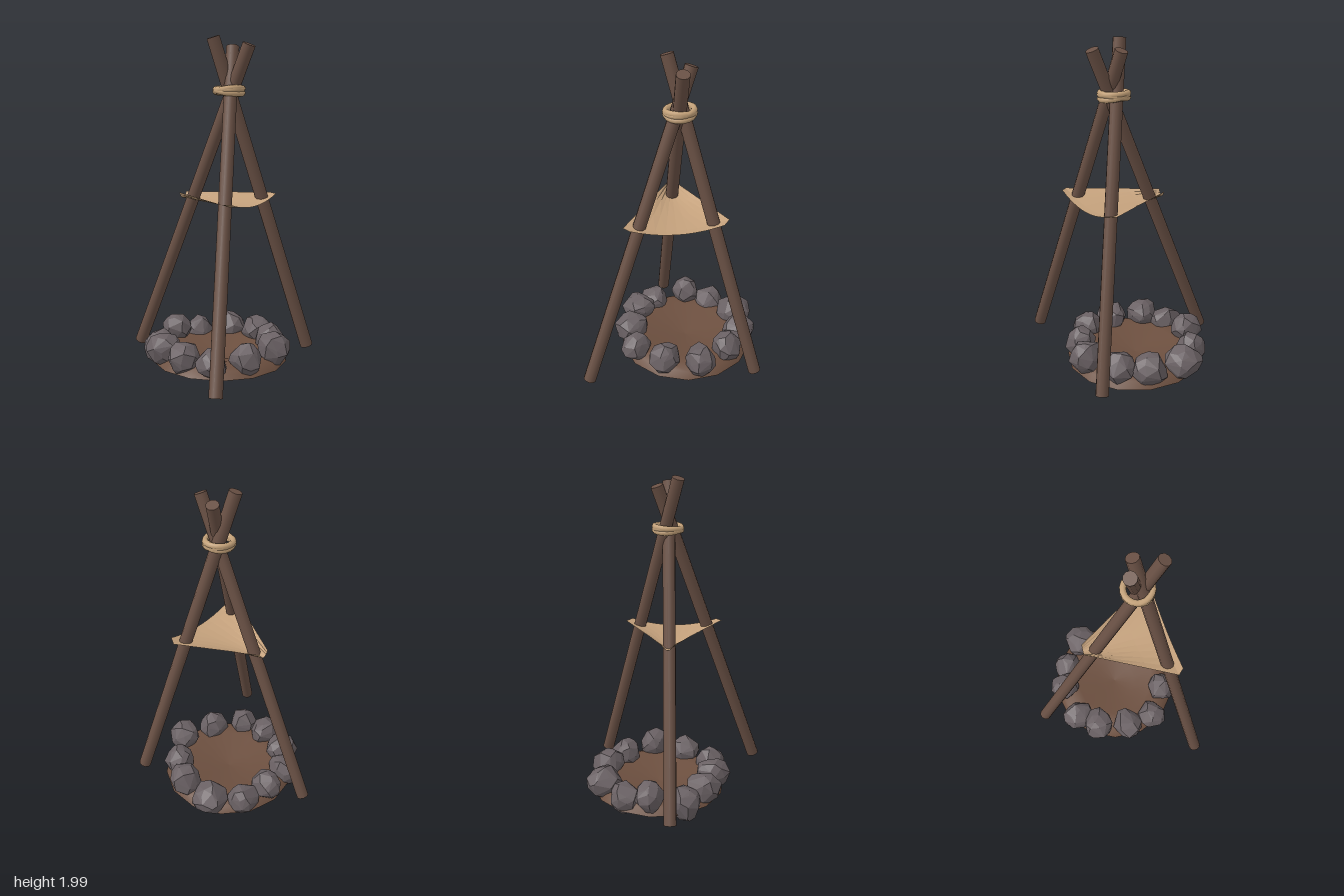
import * as THREE from 'three';
import { ConvexGeometry } from 'three/addons/geometries/ConvexGeometry.js';

const mat = (name, color, side = THREE.FrontSide) => {
  const m = new THREE.MeshStandardMaterial({ color, side });
  m.name = name;
  return m;
};

// Small seeded random generator
function seeded(seed) {
  let s = seed * 7919 + 13;
  return () => (s = (s * 16807) % 2147483647) / 2147483647;
}

// Round pole between two points
function pole(a, b, radius) {
  const from = new THREE.Vector3(...a), to = new THREE.Vector3(...b);
  const dir = to.clone().sub(from);
  const geo = new THREE.CylinderGeometry(radius, radius, dir.length(), 10);
  const mesh = new THREE.Mesh(geo);
  mesh.position.copy(from).add(to).multiplyScalar(0.5);
  mesh.quaternion.setFromUnitVectors(new THREE.Vector3(0, 1, 0), dir.normalize());
  return mesh;
}

// Faceted boulder: convex hull of jittered points, fitted to its half sizes
function boulder(seed, rx, ry, rz) {
  const rnd = seeded(seed), pts = [], n = 44;
  for (let i = 0; i < 5; i++) rnd();
  for (let i = 0; i < n; i++) {
    const y = 1 - (2 * (i + 0.5)) / n, r = Math.sqrt(1 - y * y);
    const a = i * 2.39996 + (rnd() - 0.5) * 0.8 + seed;
    const k = 0.84 + rnd() * 0.24;
    pts.push(new THREE.Vector3(Math.cos(a) * r * k, y * k, Math.sin(a) * r * k));
  }
  const box = new THREE.Box3().setFromPoints(pts);
  const mid = box.getCenter(new THREE.Vector3()), half = box.getSize(new THREE.Vector3()).multiplyScalar(0.5);
  const size = new THREE.Vector3(rx, ry, rz);
  return new ConvexGeometry(pts.map((p) => p.sub(mid).divide(half).multiply(size)));
}

// Hanging sheet: a trough lofted through rows with taut side edges
function sheet() {
  // Each row: left end x, z, right end x, z, sag
  const rows = [
    [-0.235, 0.377, 0.293, 0.327, 0.043],
    [-0.27, 0.342, 0.325, 0.267, 0.045],
    [-0.186, 0.173, 0.232, 0.123, 0.045],
    [-0.103, 0.005, 0.139, -0.02, 0.042],
    [-0.02, -0.164, 0.046, -0.164, 0.035],
  ];
  const steps = 10, pos = [], idx = [];
  rows.forEach(([x1, z1, x2, z2, sag]) => {
    for (let i = 0; i <= steps; i++) {
      const t = i / steps;
      pos.push(x1 + (x2 - x1) * t, 1.08 - sag * 4 * t * (1 - t), z1 + (z2 - z1) * t);
    }
  });
  for (let r = 0; r < rows.length - 1; r++) {
    for (let i = 0; i < steps; i++) {
      const a = r * (steps + 1) + i, c = a + steps + 1;
      idx.push(a, a + 1, c, a + 1, c + 1, c);
    }
  }
  const indexed = new THREE.BufferGeometry();
  indexed.setAttribute('position', new THREE.Float32BufferAttribute(pos, 3));
  indexed.setIndex(idx);
  const geo = indexed.toNonIndexed();
  geo.computeVertexNormals();
  return geo;
}

export function createModel() {
  const wood = mat('wood', 0x6a5145);
  const earth = mat('earth', 0x6c4f3f, THREE.DoubleSide);
  const stone = mat('stone', 0x6a6164);
  const rope = mat('rope', 0xc2a078);
  const hide = mat('hide', 0xc4a17c, THREE.DoubleSide);
  const model = new THREE.Group();
  model.name = 'campfireTripod';
  const add = (parent, name, mesh, material) => {
    mesh.name = name;
    mesh.material = material;
    parent.add(mesh);
    return mesh;
  };

  // Three crossing poles
  add(model, 'rightPole', pole([-0.497, 0.095, 0.475], [0.108, 1.938, 0.135], 0.038), wood);
  add(model, 'leftPole', pole([0.498, 0.108, 0.438], [-0.02, 1.988, 0.09], 0.038), wood);
  add(model, 'backPole', pole([-0.035, 0.09, -0.478], [0.057, 1.945, 0.285], 0.038), wood);

  // Rope lashing made of crossing loops
  const lashing = new THREE.Group();
  lashing.name = 'ropeLashing';
  lashing.position.set(0.047, 1.69, 0.155);
  [[0.17, 0.03], [-0.16, -0.04], [0.02, 0.08]].forEach(([tx, ty], i) => {
    const loop = new THREE.Mesh(new THREE.TorusGeometry(0.078, 0.018, 8, 20));
    add(lashing, 'ropeLoop' + (i + 1), loop, rope);
    loop.rotation.set(Math.PI / 2 + tx, ty, 0);
    loop.position.y = (i - 1) * 0.007;
  });
  model.add(lashing);

  // Hide slung between the poles
  add(model, 'hideSling', new THREE.Mesh(sheet()), hide);

  // Open earth bank, steep at the rim and dished in the middle
  const profile = [[0.415, 0], [0.385, 0.04], [0.33, 0.064], [0.26, 0.058], [0.14, 0.03], [0, 0.015]]
    .map(([r, y]) => new THREE.Vector2(r, y));
  const bank = add(model, 'earthBank', new THREE.Mesh(new THREE.LatheGeometry(profile, 14)), earth);
  bank.position.set(0.098, 0.064, 0.053);

  // Ring of stones: x, y, z, then half sizes in x, y, z
  const ring = new THREE.Group();
  ring.name = 'stoneRing';
  [
    [-0.1, 0.115, -0.255, 0.09, 0.105, 0.103],
    [0.108, 0.165, -0.302, 0.088, 0.1, 0.098],
    [0.265, 0.115, -0.245, 0.09, 0.105, 0.09],
    [0.42, 0.15, -0.105, 0.11, 0.1, 0.114],
    [0.432, 0.15, 0.112, 0.103, 0.095, 0.104],
    [0.345, 0.155, 0.27, 0.092, 0.1, 0.094],
    [0.173, 0.165, 0.407, 0.092, 0.1, 0.102],
    [-0.045, 0.155, 0.36, 0.092, 0.1, 0.095],
    [-0.22, 0.145, 0.24, 0.092, 0.09, 0.094],
    [-0.254, 0.15, 0.058, 0.106, 0.09, 0.098],
    [-0.208, 0.155, -0.135, 0.107, 0.09, 0.092],
  ].forEach(([x, y, z, rx, ry, rz], i) => {
    const rock = add(ring, 'stone' + (i + 1), new THREE.Mesh(boulder(i + 1, rx, ry, rz)), stone);
    rock.position.set(x, y, z);
  });
  model.add(ring);

  return model;
}
